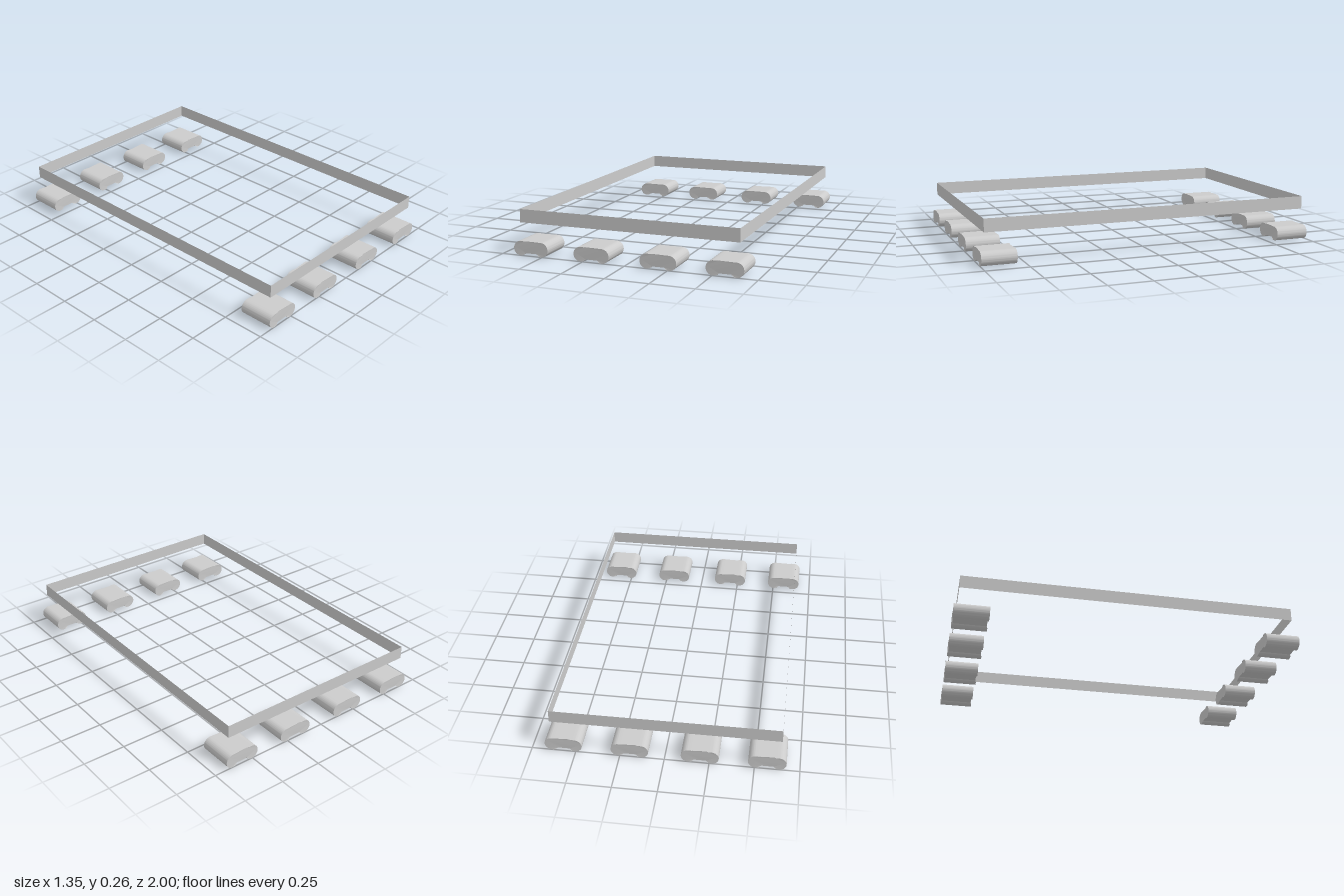
import * as THREE from 'three';
import { toCreasedNormals } from 'three/addons/utils/BufferGeometryUtils.js';

// Pill-shaped foot with two rounded lobes below and slightly hollowed ends
function footGeometry(length) {
  const r = 0.0415, cx = 0.064, inner = 0.95; // inner: angle past the lobe's lowest point
  const shape = new THREE.Shape();
  shape.moveTo(-0.034, 0.014);
  shape.lineTo(0.034, 0.014);
  shape.absarc(cx, r, r, -Math.PI / 2 - inner + 0.2, Math.PI / 2, false);
  for (const x of [0.045, 0.035, -0.035, -0.045]) shape.lineTo(x, 2 * r);
  shape.absarc(-cx, r, r, Math.PI / 2, Math.PI * 1.5 + inner - 0.2, false);
  const geo = new THREE.ExtrudeGeometry(shape, { depth: length, bevelEnabled: false, curveSegments: 20 });
  geo.translate(0, 0, -length / 2);
  const p = geo.attributes.position;
  for (let i = 0; i < p.count; i++) {
    if (Math.abs(p.getX(i)) < 0.04) p.setZ(i, p.getZ(i) - Math.sign(p.getZ(i)) * 0.005);
  }
  return toCreasedNormals(geo, 0.6);
}

export function createModel() {
  const model = new THREE.Group();
  const grey = new THREE.MeshStandardMaterial({ color: 0xcccccc });
  const sheet = new THREE.MeshStandardMaterial({ color: 0xcccccc, side: THREE.DoubleSide });

  // Thin rectangular band, open above and below
  const frame = new THREE.Group();
  frame.name = 'frame';
  const halfX = 0.645, halfZ = 0.975, height = 0.076;
  ['frontRail', 'leftRail', 'backRail', 'rightRail'].forEach((name, i) => {
    const alongX = i % 2 === 0;
    const rail = new THREE.Mesh(new THREE.PlaneGeometry(2 * (alongX ? halfX : halfZ), height), sheet);
    const turn = i * Math.PI / 2;
    rail.name = name;
    rail.rotation.y = turn;
    rail.position.set(Math.sin(turn) * halfX, 0.222, Math.cos(turn) * halfZ);
    frame.add(rail);
  });
  model.add(frame);

  // Two rows of four feet
  const foot = footGeometry(0.2);
  for (const [row, z] of [['front', 0.9], ['back', -0.9]]) {
    [-0.57, -0.198, 0.195, 0.57].forEach((x, i) => {
      const mesh = new THREE.Mesh(foot, grey);
      mesh.name = `${row}Foot${i + 1}`;
      mesh.position.set(x, 0, z);
      model.add(mesh);
    });
  }
  return model;
}
